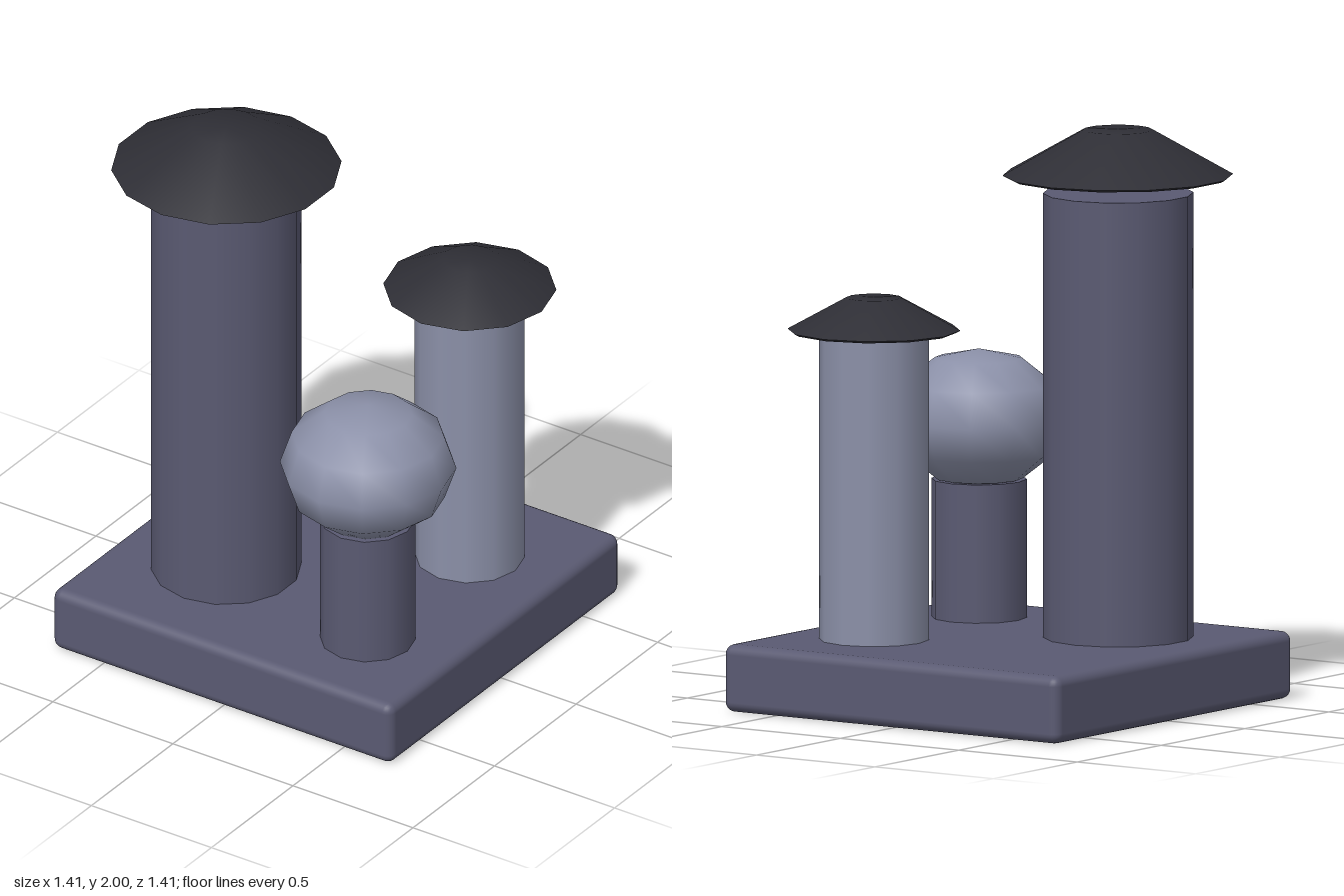
import * as THREE from 'three';
import { RoundedBoxGeometry } from 'three/addons/geometries/RoundedBoxGeometry.js';

const slate = new THREE.MeshStandardMaterial({ name: 'slate', color: 0x5a5a72 });
const paleStone = new THREE.MeshStandardMaterial({ name: 'paleStone', color: 0x8b90a8 });
const charcoal = new THREE.MeshStandardMaterial({ name: 'charcoal', color: 0x2e2e35 });

const BASE_TOP = 0.235;

export function createModel() {
  const model = new THREE.Group();

  const add = (name, geometry, material, x, y, z) => {
    const mesh = new THREE.Mesh(geometry, material);
    mesh.name = name;
    mesh.position.set(x, y, z);
    model.add(mesh);
    return mesh;
  };

  // Column rising from just inside the base up to the given height
  const column = (name, material, x, z, radius, top, sides) => {
    const bottom = BASE_TOP - 0.02;
    add(name, new THREE.CylinderGeometry(radius, radius, top - bottom, sides),
      material, x, (top + bottom) / 2, z);
  };

  // Shallow smooth roof with a flat crown, a thin rim and a flat underside
  const cap = (name, x, z, radius, crown, bottom, top, sides) => {
    const h = top - bottom;
    const profile = [[radius, 0.008], [crown, h], [0, h]].map(p => new THREE.Vector2(...p));
    add(name + 'Roof', new THREE.LatheGeometry(profile, sides), charcoal, x, bottom, z);
    add(name + 'Underside', new THREE.CylinderGeometry(radius, radius - 0.014, 0.008, sides),
      charcoal, x, bottom + 0.004, z);
  };

  // Rounded square base
  add('base', new RoundedBoxGeometry(1.415, BASE_TOP, 1.415, 3, 0.035), slate, 0, BASE_TOP / 2, 0);

  // Tall tower with its floating cap
  column('tallTower', slate, -0.297, 0.237, 0.26, 1.78, 14);
  cap('tallCap', -0.297, 0.235, 0.398, 0.12, 1.835, 2, 14);

  // Middle tower with its cap
  column('middleTower', paleStone, 0.355, -0.297, 0.19, 1.31, 12);
  cap('middleCap', 0.355, -0.298, 0.299, 0.095, 1.304, 1.424, 12);

  // Short pedestal carrying a flattened ball
  column('pedestal', slate, 0.375, 0.358, 0.165, 0.716, 12);
  add('ball', new THREE.SphereGeometry(0.305, 12, 6), paleStone, 0.375, 0.928, 0.355)
    .scale.y = 0.79;

  return model;
}
